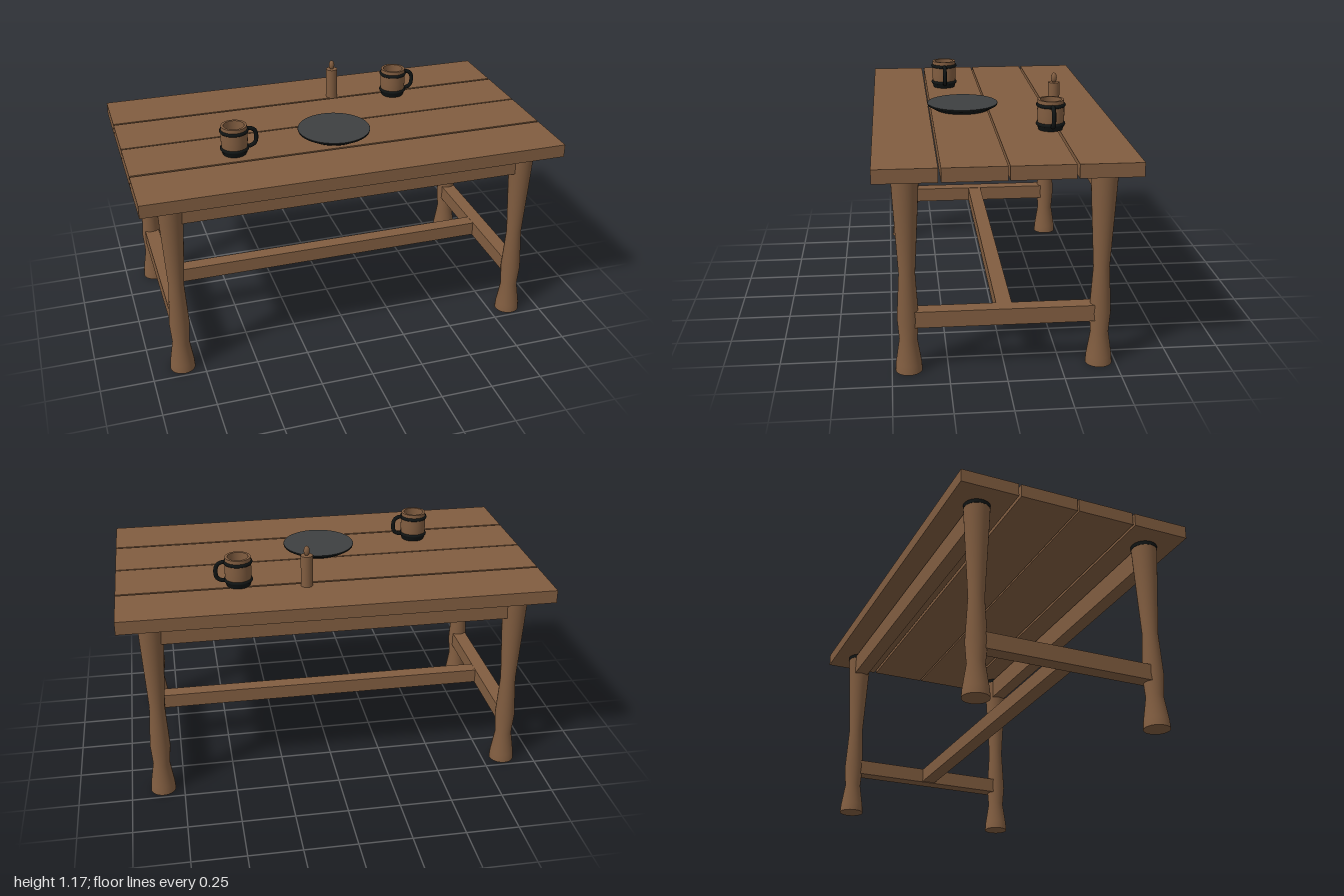
import * as THREE from 'three';

const wood = new THREE.MeshStandardMaterial({ color: 0x815d40 });
wood.name = 'wood';
const iron = new THREE.MeshStandardMaterial({ color: 0x101414 });
iron.name = 'blackIron';
const pewter = new THREE.MeshStandardMaterial({ color: 0x3e4041 });
pewter.name = 'pewter';

function add(parent, name, geometry, material, x = 0, y = 0, z = 0) {
  const mesh = new THREE.Mesh(geometry, material);
  mesh.name = name;
  mesh.position.set(x, y, z);
  parent.add(mesh);
  return mesh;
}

const box = (w, h, d) => new THREE.BoxGeometry(w, h, d);
const lathe = (points, segments = 32) =>
  new THREE.LatheGeometry(points.map(([r, y]) => new THREE.Vector2(r, y)), segments);

// Hollow mug standing on y = 0, handle towards +x
function createMug(name, x, y, z) {
  const mug = new THREE.Group();
  mug.name = name;
  mug.position.set(x, y, z);
  const wall = [[0.06, 0.03], [0.0625, 0.07], [0.06, 0.14], [0.06, 0.14],
    [0.048, 0.14], [0.048, 0.14], [0.048, 0.03]];
  add(mug, 'mugWall', lathe(wall), wood);
  add(mug, 'mugBase', new THREE.CylinderGeometry(0.064, 0.055, 0.025, 32), iron, 0, 0.0125, 0);
  add(mug, 'mugFloor', new THREE.CylinderGeometry(0.05, 0.05, 0.008, 32), iron, 0, 0.029, 0);
  for (const [bandName, h] of [['lowerBand', 0.027], ['upperBand', 0.115]]) {
    const band = add(mug, bandName, new THREE.TorusGeometry(0.059, 0.009, 8, 32), iron, 0, h, 0);
    band.rotation.x = Math.PI / 2;
  }
  const path = new THREE.CatmullRomCurve3([[0.055, 0.115], [0.075, 0.116], [0.097, 0.102],
    [0.104, 0.07], [0.097, 0.04], [0.075, 0.027], [0.055, 0.027]]
    .map(([px, py]) => new THREE.Vector3(px, py, 0)));
  add(mug, 'mugHandle', new THREE.TubeGeometry(path, 24, 0.01, 8), iron);
  return mug;
}

export function createModel() {
  const model = new THREE.Group();
  model.name = 'tavernTable';

  // Tabletop planks
  for (const side of [-1, 1]) {
    add(model, 'innerPlank', box(2, 0.062, 0.275), wood, 0, 0.945, side * 0.1415);
    add(model, 'outerPlank', box(2, 0.062, 0.272), wood, 0, 0.945, side * 0.426);
  }

  // Turned legs with iron collars
  const legProfile = [[0, 0], [0.06, 0], [0.06, 0], [0.057, 0.04], [0.04, 0.15], [0.048, 0.25],
    [0.036, 0.46], [0.055, 0.8], [0.06, 0.9], [0.06, 0.9], [0, 0.9]];
  const legGeometry = lathe(legProfile);
  const collarGeometry = new THREE.CylinderGeometry(0.061, 0.061, 0.019, 32);
  for (const sx of [-1, 1]) {
    for (const sz of [-1, 1]) {
      add(model, 'leg', legGeometry, wood, sx * 0.85, 0, sz * 0.425);
      add(model, 'legCollar', collarGeometry, iron, sx * 0.85, 0.9055, sz * 0.425);
    }
  }

  // Aprons and stretchers
  for (const s of [-1, 1]) {
    add(model, 'apron', box(1.7, 0.105, 0.07), wood, 0, 0.8525, s * 0.425);
    add(model, 'sideStretcher', box(0.07, 0.075, 0.85), wood, s * 0.85, 0.2525, 0);
  }
  add(model, 'longStretcher', box(1.66, 0.07, 0.07), wood, 0, 0.2535, 0);

  // Plate with a flared dark underside and a lighter face
  const plate = new THREE.Group();
  plate.name = 'plate';
  plate.position.set(0, 0.976, 0.122);
  model.add(plate);
  add(plate, 'plateBody', lathe([[0, 0], [0.135, 0], [0.135, 0], [0.172, 0.021], [0.174, 0.028],
    [0.172, 0.03]], 48), iron);
  const face = add(plate, 'plateFace', new THREE.CircleGeometry(0.173, 48), pewter, 0, 0.03, 0);
  face.rotation.x = -Math.PI / 2;

  // Mugs
  model.add(createMug('leftMug', 0.435, 0.976, -0.252));
  model.add(createMug('rightMug', -0.5, 0.976, 0.186));

  // Candle with flame
  add(model, 'candle', new THREE.CylinderGeometry(0.028, 0.028, 0.15, 20), wood, 0.124, 1.051, -0.313);
  const flame = add(model, 'candleFlame', new THREE.SphereGeometry(0.014, 14, 10), wood, 0.124, 1.147, -0.313);
  flame.scale.y = 1.75;

  return model;
}
